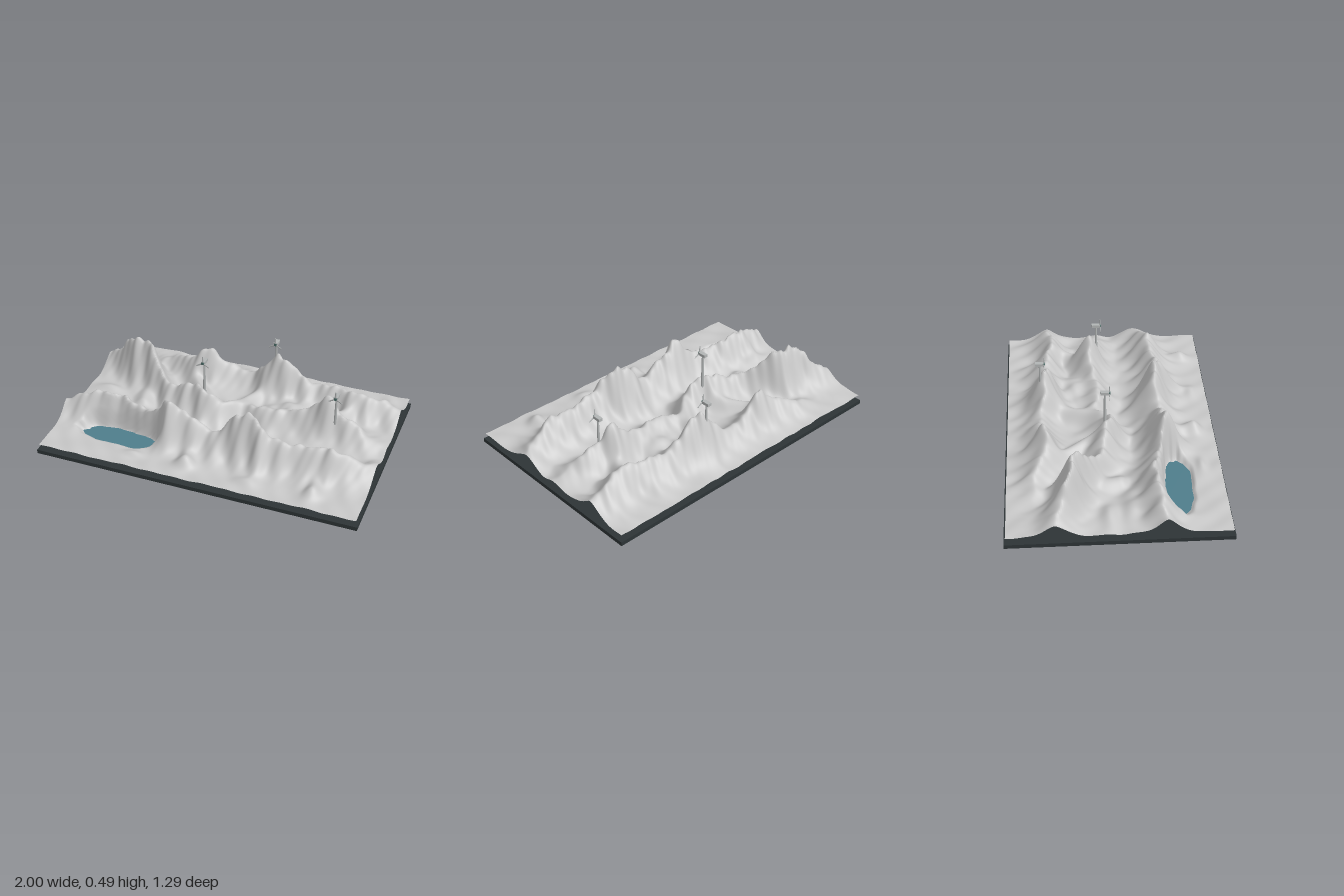
import * as THREE from 'three';

const mat = (name, color, side = THREE.FrontSide) => {
  const m = new THREE.MeshStandardMaterial({ color, side });
  m.name = name;
  return m;
};

// ridge crests as rows of [x, z, height]
const frontCrest = [
  [-1, .26, .15], [-.8, .235, .24], [-.6, .225, .245], [-.48, .26, .22], [-.37, .29, .24], [-.27, .31, .355],
  [-.19, .3, .29], [-.13, .3, .27], [.02, .3, .19], [.15, .285, .33], [.26, .295, .36], [.36, .32, .27],
  [.5, .31, .23], [.62, .29, .23], [.75, .29, .24], [.9, .25, .17], [1, .22, .13]];
const middleCrest = [
  [-1, -.36, .14], [-.88, -.32, .22], [-.79, -.27, .34], [-.68, -.25, .36], [-.6, -.22, .34], [-.52, -.14, .24],
  [-.4, -.06, .2], [-.28, -.05, .25], [-.18, -.01, .26], [-.06, -.01, .2], [.05, -.09, .15], [.2, -.06, .18],
  [.35, -.08, .18], [.5, -.1, .23], [.6, -.1, .33], [.69, -.08, .23], [.76, -.07, .21], [.87, -.05, .13], [1, -.04, .08]];
const backCrest = [
  [-1, -.5, .07], [-.75, -.48, .075], [-.6, -.47, .12], [-.5, -.45, .17], [-.4, -.4, .21], [-.3, -.4, .3],
  [-.2, -.42, .22], [-.1, -.43, .18], [0, -.42, .17], [.1, -.4, .27], [.18, -.39, .355], [.27, -.385, .31],
  [.4, -.385, .21], [.55, -.38, .22], [.68, -.35, .22], [.76, -.34, .22], [.87, -.37, .19], [1, -.38, .14]];

// spurs as [x1, z1, x2, z2, height, width], and foothills as [x, z, height, rx, rz]
const spurs = [
  [-.4, -.38, -.2, -.1, .08, .06], [.13, -.36, 0, -.06, .08, .06], [.72, -.33, .6, -.12, .09, .06],
  [-.6, -.18, -.57, .02, .05, .06], [.4, -.36, .42, -.1, .04, .07],
  [-.15, .3, -.08, .5, .045, .05], [.66, .3, .7, .5, .035, .05]];
const foothills = [
  [-.1, .52, .032, .06, .05], [.3, .54, .022, .07, .04], [.69, .52, .03, .05, .06], [-.42, .52, .025, .06, .03],
  [-.8, .07, .025, .14, .05], [-.85, -.05, .04, .1, .05], [.3, -.22, .05, .12, .06],
  [.1, .05, -.036, .2, .1], [-.1, .13, -.008, .5, .05]];

// smooth interpolation of a crest at x
function crestAt(rows, x) {
  let i = 0;
  while (i < rows.length - 2 && rows[i + 1][0] < x) i++;
  const a = rows[i], b = rows[i + 1], p = rows[Math.max(0, i - 1)], q = rows[Math.min(rows.length - 1, i + 2)];
  const d = b[0] - a[0], t = (x - a[0]) / d, t2 = t * t, t3 = t2 * t;
  return [1, 2].map(k => {
    const ma = (b[k] - p[k]) / (b[0] - p[0]) * d, mb = (q[k] - a[k]) / (q[0] - a[0]) * d;
    return (2 * t3 - 3 * t2 + 1) * a[k] + (t3 - 2 * t2 + t) * ma + (3 * t2 - 2 * t3) * b[k] + (t3 - t2) * mb;
  });
}

// height above the plain of one ridge, with gullies along its flanks
function ridge(rows, x, z, phase, south) {
  const [cz, ch] = crestAt(rows, x);
  const d = z - cz - .007 * Math.sin(x * 43 + phase);
  const gully = 1 + .1 * Math.sin(x * 21 + phase + d * 8) + .07 * Math.sin(x * 47 - phase - d * 12);
  const w = (d > 0 ? south : .098) * gully;
  const rugged = 1 + .03 * Math.sin(x * 61 + phase) + .025 * Math.sin(x * 97 + z * 40);
  return Math.max(0, ch - .06) * rugged * Math.exp(-Math.pow(Math.abs(d) / w, 1.6));
}

function segmentDistance(x, z, [x1, z1, x2, z2]) {
  const dx = x2 - x1, dz = z2 - z1;
  const t = THREE.MathUtils.clamp(((x - x1) * dx + (z - z1) * dz) / (dx * dx + dz * dz), 0, 1);
  return Math.hypot(x - x1 - t * dx, z - z1 - t * dz);
}

const lake = { x: -.575, z: .367, rx: .255, rz: .088, y: .04 };
// wavy shore radius at angle a
const shoreAt = a => 1 + .05 * Math.cos(4 * a + 2.2) + .03 * Math.sin(7 * a) + .02 * Math.sin(13 * a);

function heightAt(x, z) {
  // the front ridge falls more steeply above the lake
  const frontSouth = .09 - .04 * Math.exp(-(((x - lake.x) / .26) ** 2));
  const parts = [
    ridge(frontCrest, x, z, 0, frontSouth), ridge(middleCrest, x, z, 2, .078), ridge(backCrest, x, z, 4, .085)];
  for (const s of spurs) parts.push(s[4] * Math.exp(-Math.pow(segmentDistance(x, z, s) / s[5], 2)));
  // soft maximum blends ridges and spurs
  let h = .06 + Math.pow(parts.reduce((sum, p) => sum + p ** 3, 0), 1 / 3);
  for (const [fx, fz, fh, rx, rz] of foothills) h += fh * Math.exp(-(((x - fx) / rx) ** 2) - ((z - fz) / rz) ** 2);
  h += .003 * Math.sin(x * 17 + z * 9) * Math.sin(z * 23 - x * 5) + .002 * Math.sin(x * 39 - z * 31);
  // lake basin
  const u = (x - lake.x) / lake.rx, v = (z - lake.z) / lake.rz;
  const r = Math.hypot(u, v) / shoreAt(Math.atan2(v, u));
  return Math.max(.028, THREE.MathUtils.lerp(.034, h, THREE.MathUtils.smoothstep(r, .85, 1.18)));
}

export function createModel() {
  const model = new THREE.Group();
  const rock = mat('pale grey terrain', 0xc8c8c8, THREE.DoubleSide);
  const water = mat('lake blue', 0x4f7d8b, THREE.DoubleSide);
  const dark = mat('dark plinth', 0x2d3436);
  const metal = mat('turbine grey', 0xb2b5b5);
  const teal = mat('hub teal', 0x4a6a66);
  const add = (parent, name, geometry, material, x = 0, y = 0, z = 0) => {
    const mesh = new THREE.Mesh(geometry, material);
    mesh.name = name;
    mesh.position.set(x, y, z);
    parent.add(mesh);
    return mesh;
  };

  add(model, 'plinth', new THREE.BoxGeometry(2, .025, 1.29), dark, 0, .0125, 0);

  // open terrain sheet above the plinth
  const ground = new THREE.PlaneGeometry(1.98, 1.27, 220, 142).rotateX(-Math.PI / 2);
  const pos = ground.attributes.position;
  for (let i = 0; i < pos.count; i++) pos.setY(i, heightAt(pos.getX(i), pos.getZ(i)));
  ground.computeVertexNormals();
  add(model, 'terrain', ground, rock);

  // lake surface
  const shore = [];
  for (let i = 0; i < 72; i++) {
    const a = i / 72 * Math.PI * 2, k = shoreAt(a);
    shore.push(new THREE.Vector2(Math.cos(a) * lake.rx * k, -Math.sin(a) * lake.rz * k));
  }
  add(model, 'lake', new THREE.ShapeGeometry(new THREE.Shape(shore)).rotateX(-Math.PI / 2), water, lake.x, lake.y, lake.z);

  // wind turbines: [x, hub height, tower z]
  for (const [x, y, z] of [[-.18, .438, -.04], [.157, .427, -.421], [.66, .372, -.052]]) {
    const turbine = new THREE.Group();
    turbine.name = 'windTurbine';
    turbine.position.set(x, y, z);
    model.add(turbine);
    add(turbine, 'tower', new THREE.CylinderGeometry(.006, .01, .24, 12), metal, 0, -.12, 0);
    add(turbine, 'nacelle', new THREE.BoxGeometry(.026, .018, .052), metal, 0, 0, -.001);
    add(turbine, 'hub', new THREE.CylinderGeometry(.009, .009, .01, 12).rotateX(Math.PI / 2), teal, 0, 0, .027);
    for (let i = 0; i < 3; i++) {
      const blade = new THREE.CylinderGeometry(.0035, .006, .046, 8).scale(1, 1, .5).translate(0, .025, 0);
      add(turbine, 'blade', blade, metal, 0, 0, .027).rotation.z = i * Math.PI * 2 / 3;
    }
  }
  return model;
}
